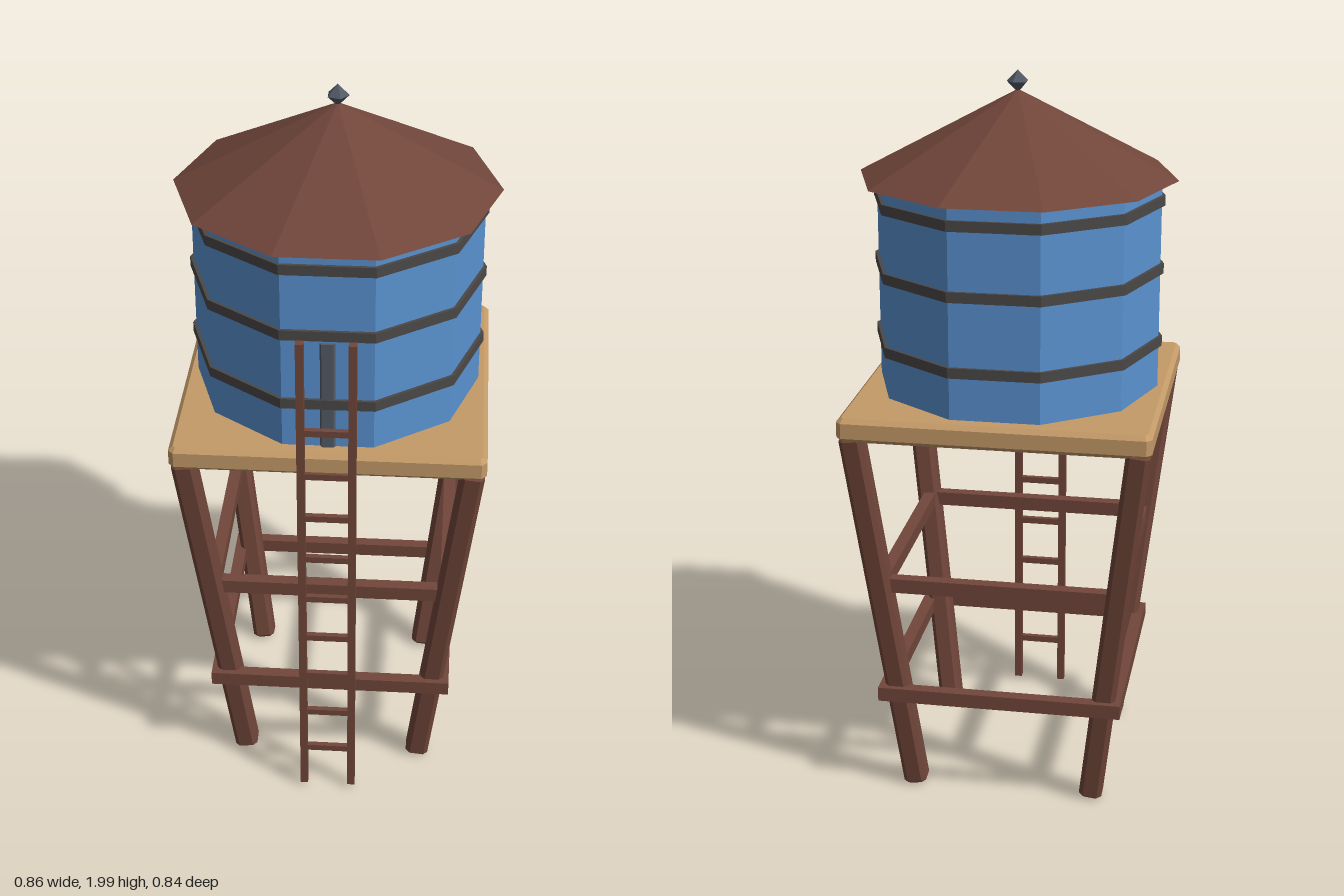
import * as THREE from 'three';

const flat = (name, color) => {
  const m = new THREE.MeshStandardMaterial({ color });
  m.name = name;
  return m;
};

// Box with every edge chamfered by c, centred on the origin.
function chamferBox(w, h, d, c) {
  const x = w / 2 - c, z = d / 2 - c, k = c * 0.6;
  const outline = [[x, z - k], [x - k, z], [k - x, z], [-x, z - k], [-x, k - z], [k - x, -z], [x - k, -z], [x, k - z]];
  const shape = new THREE.Shape(outline.map(([a, b]) => new THREE.Vector2(a, b)));
  const g = new THREE.ExtrudeGeometry(shape, {
    depth: h - 2 * c, bevelEnabled: true, bevelThickness: c, bevelSize: c, bevelSegments: 1,
  });
  g.translate(0, 0, c - h / 2);
  g.rotateX(-Math.PI / 2);
  return g;
}

export function createModel() {
  const model = new THREE.Group();
  model.name = 'waterTower';
  const body = new THREE.Group();
  body.name = 'tower';
  body.position.z = -0.005;
  model.add(body);

  const wood = flat('dark red wood', 0x71463a);
  const blue = flat('blue tank', 0x5a92d0);
  const deck = flat('tan planks', 0xc49a68);
  const iron = flat('dark iron', 0x4b4847);
  const steel = flat('blue grey steel', 0x525a66);
  for (const m of [wood, blue, deck, iron, steel]) m.flatShading = true;

  const add = (name, geometry, material, x = 0, y = 0, z = 0, parent = body) => {
    const mesh = new THREE.Mesh(geometry, material);
    mesh.name = name;
    mesh.position.set(x, y, z);
    parent.add(mesh);
    return mesh;
  };
  // Ten-sided drum with a corner pointing along x.
  const drum = (rTop, rBottom, h) =>
    new THREE.CylinderGeometry(rTop, rBottom, h, 10, 1, false, Math.PI / 2);

  // Platform
  add('platform', chamferBox(0.828, 0.065, 0.828, 0.012), deck, 0, 1.118, 0);

  // Tank, hoops, roof and finial
  add('tank', drum(0.386, 0.386, 0.58), blue, 0, 1.435, 0);
  for (const y of [1.28, 1.482, 1.667]) add('hoop', drum(0.395, 0.395, 0.028), iron, 0, y, 0);
  const roof = new THREE.ConeGeometry(0.43, 0.23, 10, 1, false, Math.PI / 2);
  add('roof', roof, wood, 0, 1.835, 0);
  add('finial', new THREE.SphereGeometry(0.03, 5, 2), steel, 0, 1.97, 0).rotation.y = Math.PI;

  // Outlet pipe on the front
  const pipe = new THREE.CylinderGeometry(0.031, 0.031, 0.405, 6, 1, false, Math.PI / 2);
  add('pipe', pipe, steel, 0, 1.256, 0.348);

  // Four splayed legs
  const up = new THREE.Vector3(0, 1, 0);
  for (const sx of [-1, 1]) {
    for (const sz of [-1, 1]) {
      const foot = new THREE.Vector3(sx * 0.25, 0.012, sz * 0.25);
      const top = new THREE.Vector3(sx * 0.379, 1.1, sz * 0.379);
      const dir = top.clone().sub(foot);
      const mid = top.clone().add(foot).multiplyScalar(0.5);
      const leg = add('leg', chamferBox(0.064, dir.length(), 0.064, 0.01), wood, mid.x, mid.y, mid.z);
      leg.quaternion.setFromUnitVectors(up, dir.normalize());
    }
  }

  // Two square rings of cross beams
  for (const y of [0.318, 0.651]) {
    for (const s of [-1, 1]) {
      add('crossBeam', new THREE.BoxGeometry(0.674, 0.04, 0.034), wood, 0, y, s * 0.32);
      add('sideBeam', new THREE.BoxGeometry(0.034, 0.04, 0.674), wood, s * 0.32, y, 0);
    }
  }

  // Ladder
  const ladder = new THREE.Group();
  ladder.name = 'ladder';
  ladder.position.z = 0.416;
  body.add(ladder);
  for (const s of [-1, 1]) {
    add('ladderRail', new THREE.BoxGeometry(0.021, 1.467, 0.021), wood, s * 0.067, 0.753, 0, ladder);
  }
  for (let i = 0; i < 9; i++) {
    add('ladderRung', new THREE.BoxGeometry(0.134, 0.018, 0.015), wood, 0, 0.152 + i * 0.1337, 0, ladder);
  }
  return model;
}
